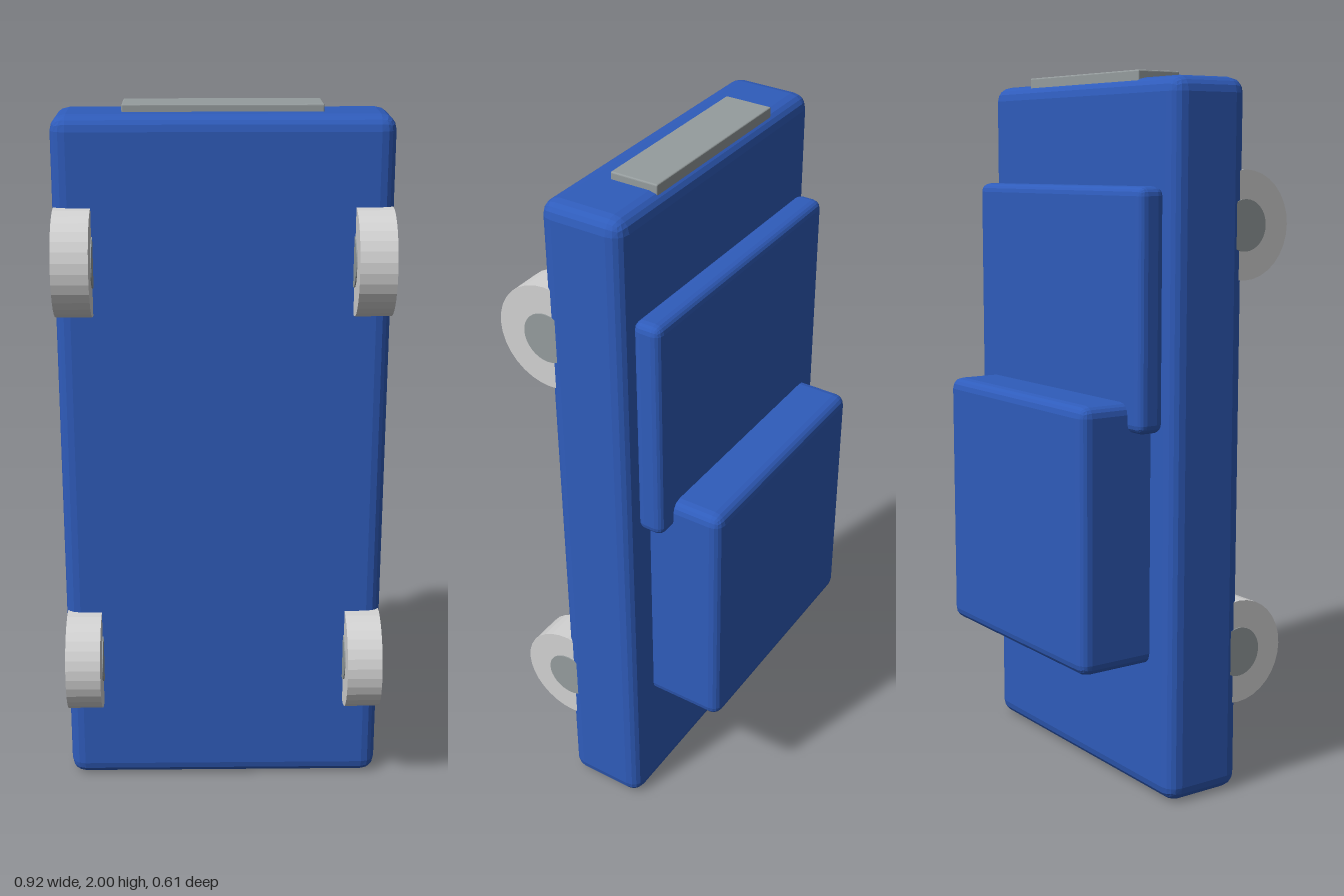
import * as THREE from 'three';
import { RoundedBoxGeometry } from 'three/addons/geometries/RoundedBoxGeometry.js';

export function createModel() {
  const group = new THREE.Group();
  group.name = 'toyCar';

  const paint = new THREE.MeshStandardMaterial({ color: 0x2f5cbb });
  paint.name = 'bluePaint';
  const tyre = new THREE.MeshStandardMaterial({ color: 0xd2d2d2 });
  tyre.name = 'lightGreyTyre';
  const metal = new THREE.MeshStandardMaterial({ color: 0x959c9d });
  metal.name = 'greyMetal';

  // Box with bevelled edges, given by its half width and its y and z ranges
  function block(name, halfWidth, [y0, y1], [z0, z1], bevel, material) {
    const geometry = new RoundedBoxGeometry(2 * halfWidth, y1 - y0, z1 - z0, 2, bevel);
    geometry.computeVertexNormals(); // faceted bevels
    const mesh = new THREE.Mesh(geometry, material);
    mesh.name = name;
    mesh.position.set(0, (y0 + y1) / 2, (z0 + z1) / 2);
    group.add(mesh);
  }

  // The car stands on its tail: nose up, wheels towards +z, roof towards -z
  block('body', 0.461, [0, 1.98], [-0.083, 0.16], 0.042, paint);
  block('hood', 0.417, [1.04, 1.695], [-0.16, -0.078], 0.025, paint);
  block('cabin', 0.36, [0.38, 1.122], [-0.305, -0.03], 0.032, paint);
  block('grille', 0.272, [1.96, 2.0], [-0.065, 0.073], 0.004, metal);

  // Wheels with slightly proud hubs
  function disc(name, radius, width, material) {
    const geometry = new THREE.CylinderGeometry(radius, radius, width, 32).toNonIndexed();
    geometry.computeVertexNormals();
    geometry.rotateZ(Math.PI / 2);
    const mesh = new THREE.Mesh(geometry, material);
    mesh.name = name;
    return mesh;
  }

  for (const [end, y] of [['front', 1.59], ['rear', 0.4]]) {
    for (const [side, sign] of [['Left', 1], ['Right', -1]]) {
      const wheel = new THREE.Group();
      wheel.name = `${end}${side}Wheel`;
      wheel.add(disc('tyre', 0.148, 0.1, tyre), disc('hub', 0.07, 0.106, metal));
      wheel.position.set(sign * 0.406, y, 0.157);
      group.add(wheel);
    }
  }

  return group;
}
